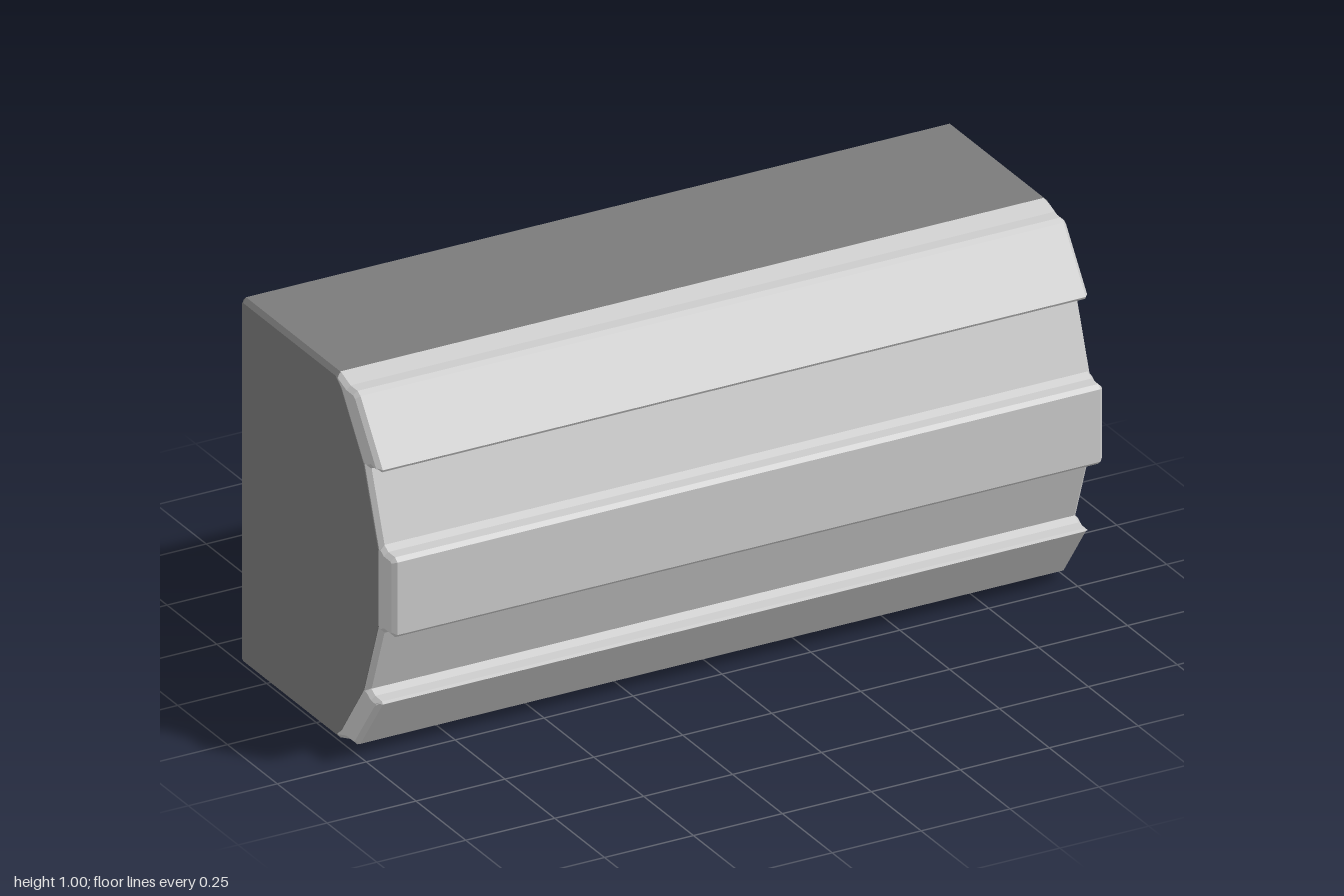
import * as THREE from 'three';

const BEVEL = 0.011;
const light = new THREE.MeshStandardMaterial({ color: 0xcccccc, flatShading: true });
const dark = new THREE.MeshStandardMaterial({ color: 0x7b7b7b, flatShading: true });

// Mirror a half profile of [z, y] points about mid height
const mirrored = (pts) => pts.map(([z, y]) => [z, 1 - y]).reverse();

// Run a [z, y] profile along x with bevelled ends
function bar(name, pts, halfLength, material) {
  const shape = new THREE.Shape(pts.map(([z, y]) => new THREE.Vector2(z, y)));
  const depth = 2 * (halfLength - BEVEL);
  const geometry = new THREE.ExtrudeGeometry(shape, {
    depth, bevelEnabled: true, bevelSegments: 1,
    bevelThickness: BEVEL, bevelSize: BEVEL, bevelOffset: -BEVEL,
  });
  geometry.translate(0, 0, -depth / 2);
  geometry.rotateY(-Math.PI / 2);
  const mesh = new THREE.Mesh(geometry, material);
  mesh.name = name;
  return mesh;
}

export function createModel() {
  const group = new THREE.Group();
  group.name = 'slattedBlock';

  // Dark block with chamfered back edges
  const bodyHalf = [
    [-0.385, 0.988], [-0.373, 1], [0.1, 1], [0.132, 0.975], [0.246, 0.815], [0.321, 0.605],
  ];
  group.add(bar('body', [...bodyHalf, ...mirrored(bodyHalf)], 1, dark));

  // Light faceted panel lying just proud of the block's front
  const panelHalf = [[0.1, 0.98], [0.14, 0.96], [0.25, 0.815], [0.325, 0.605]];
  group.add(bar('frontPanel', [...panelHalf, ...mirrored(panelHalf)], 0.9985, light));

  // Middle slat, flared where it meets the front
  const middleHalf = [[0.28, 0.6], [0.32, 0.62], [0.34, 0.609], [0.374, 0.609], [0.385, 0.599]];
  group.add(bar('middleSlat', [...middleHalf, ...mirrored(middleHalf)], 0.999, light));

  // Sloping upper slat and its mirror image below
  const slat = [
    [0.08, 0.97], [0.1, 1], [0.15, 0.983], [0.185, 0.983], [0.2, 0.975],
    [0.312, 0.82], [0.308, 0.813], [0.275, 0.812], [0.253, 0.8], [0.2, 0.8],
  ];
  group.add(bar('upperSlat', slat, 0.999, light));
  group.add(bar('lowerSlat', mirrored(slat), 0.999, light));

  return group;
}
